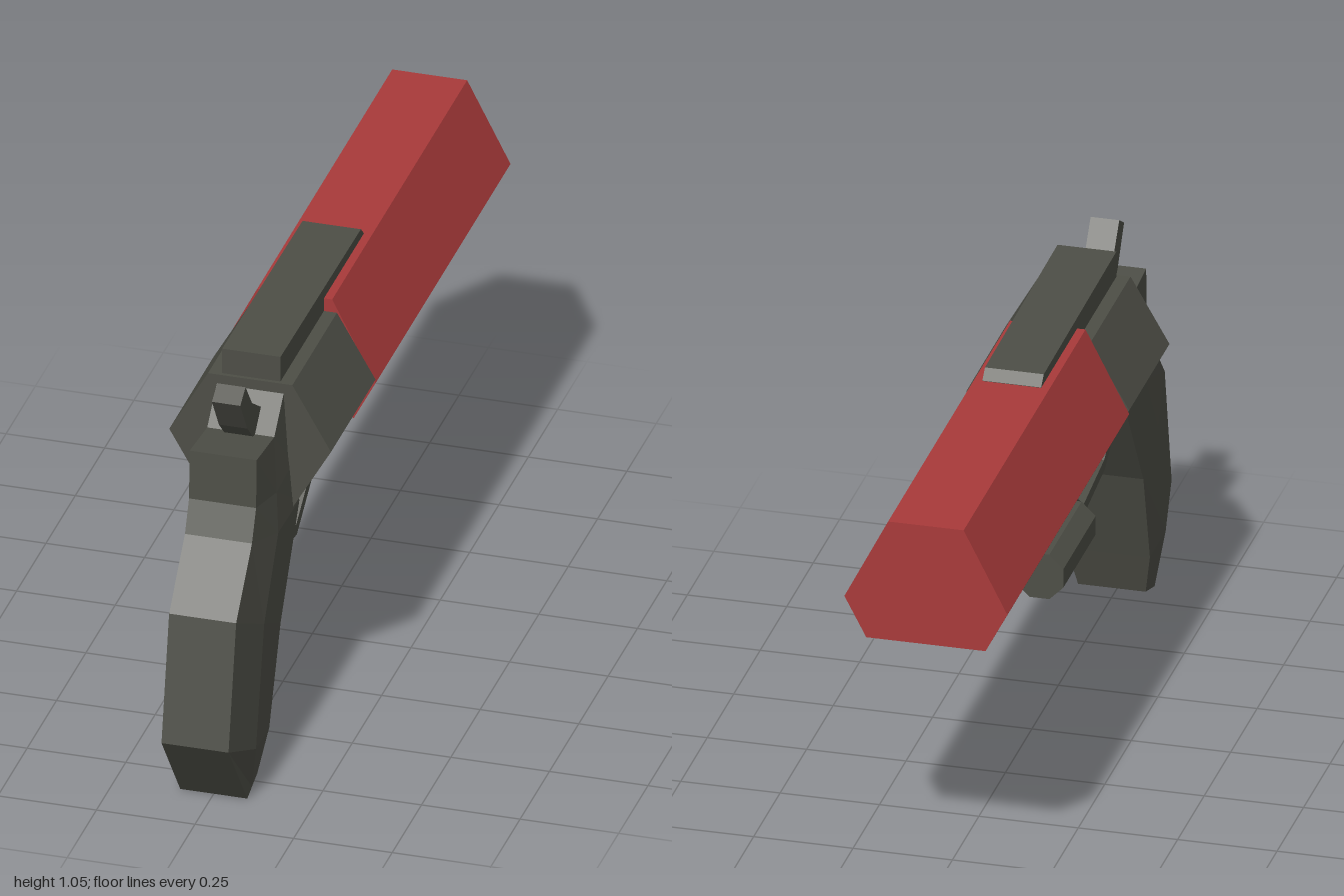
import * as THREE from 'three';

export function createModel() {
  const model = new THREE.Group();
  const mat = (name, color) => {
    const m = new THREE.MeshStandardMaterial({ color, flatShading: true });
    m.name = name;
    return m;
  };
  const red = mat('barrelRed', 0xa83a3a);
  const grey = mat('gunmetal', 0x4d4e46);

  const add = (name, geometry, material) => {
    const mesh = new THREE.Mesh(geometry, material);
    mesh.name = name;
    model.add(mesh);
    return mesh;
  };
  const shapeOf = (pts) => new THREE.Shape(pts.map(([x, y]) => new THREE.Vector2(x, y)));

  // Side profile of [z, y] points, extruded across x and centred
  const sidePart = (name, pts, width) => {
    const g = new THREE.ExtrudeGeometry(shapeOf(pts.map(([z, y]) => [-z, y])), { depth: width, bevelEnabled: false });
    g.translate(0, 0, -width / 2).rotateY(Math.PI / 2);
    return add(name, g, grey);
  };

  // Half section of [x, y] points, mirrored and extruded along z
  const prism = (name, half, z0, z1, material) => {
    const pts = [...half, ...half.slice().reverse().map(([x, y]) => [-x, y])];
    const g = new THREE.ExtrudeGeometry(shapeOf(pts), { depth: z1 - z0, bevelEnabled: false });
    g.translate(0, 0, z0);
    return add(name, g, material);
  };

  // Six-sided barrel and frame
  prism('barrel', [[0.095, 1.025], [0.205, 0.81], [0.15, 0.705]], -1, 0.15, red);
  prism('frame', [[0.107, 0.99], [0.205, 0.82], [0.107, 0.65]], 0.15, 0.53, grey);

  // Top strap and lug under the barrel
  sidePart('topStrap', [[0.52, 0.96], [0.52, 1.058], [-0.165, 1.05], [-0.19, 1.026], [-0.19, 1.01], [0.1, 0.96]], 0.148);
  sidePart('underLug', [[0.19, 0.72], [0.19, 0.622], [-0.84, 0.636], [-0.91, 0.705], [-0.91, 0.72]], 0.15);

  // Eight-sided rods: one under the lug, a shorter one beside it
  const rod = (name, x, z0, z1) => {
    const g = new THREE.CylinderGeometry(0.065, 0.065, z1 - z0, 8);
    g.rotateY(Math.PI / 8).rotateX(Math.PI / 2).translate(x, 0.602, (z0 + z1) / 2);
    add(name, g, grey);
  };
  rod('ejectorRod', 0, -0.49, 0.13);
  rod('sideRod', -0.115, -0.36, -0.055);

  // Hammer, trigger and trigger guard
  sidePart('hammer', [[0.735, 1.03], [0.69, 1.058], [0.635, 0.985], [0.56, 0.935], [0.58, 0.87], [0.63, 0.89], [0.675, 0.935]], 0.072);
  sidePart('trigger', [[0.455, 0.66], [0.44, 0.595], [0.355, 0.498], [0.348, 0.508], [0.412, 0.6], [0.425, 0.66]], 0.05);
  sidePart('triggerGuard', [
    [0.57, 0.52], [0.5, 0.475], [0.3, 0.445], [0.175, 0.53], [0.115, 0.63],
    [0.145, 0.63], [0.195, 0.55], [0.305, 0.475], [0.495, 0.503], [0.56, 0.545],
  ], 0.1);

  // Grip: stations from top to bottom, each with rear, middle and front [z, y, halfWidth]
  const stations = [
    [[0.76, 0.9, 0.085], [0.61, 0.885, 0.085], [0.525, 0.968, 0.085]],
    [[0.765, 0.77, 0.085], [0.64, 0.75, 0.1], [0.5, 0.76, 0.1]],
    [[0.8, 0.69, 0.085], [0.66, 0.65, 0.11], [0.48, 0.645, 0.11]],
    [[0.935, 0.54, 0.085], [0.78, 0.46, 0.11], [0.64, 0.39, 0.11]],
    [[1.0, 0.215, 0.085], [0.85, 0.15, 0.11], [0.72, 0.14, 0.105]],
    [[0.84, 0.003, 0.085], [0.8, 0.015, 0.085], [0.755, 0.028, 0.085]],
  ];
  const pos = [];
  const idx = [];
  stations.forEach((s) => {
    s.forEach(([z, y, w]) => pos.push(w, y, z));
    s.slice().reverse().forEach(([z, y, w]) => pos.push(-w, y, z));
  });
  for (let i = 0; i < stations.length - 1; i++) {
    for (let j = 0; j < 6; j++) {
      const a = i * 6 + j, b = i * 6 + (j + 1) % 6;
      idx.push(a, a + 6, b + 6, a, b + 6, b);
    }
  }
  const e = (stations.length - 1) * 6;
  [[0, 1, 4], [0, 4, 5], [1, 2, 3], [1, 3, 4]].forEach(([a, b, c]) => {
    idx.push(a, b, c, e + a, e + c, e + b);
  });
  const indexed = new THREE.BufferGeometry();
  indexed.setAttribute('position', new THREE.Float32BufferAttribute(pos, 3));
  indexed.setIndex(idx);
  const grip = indexed.toNonIndexed();
  grip.computeVertexNormals();
  add('grip', grip, grey);

  return model;
}
